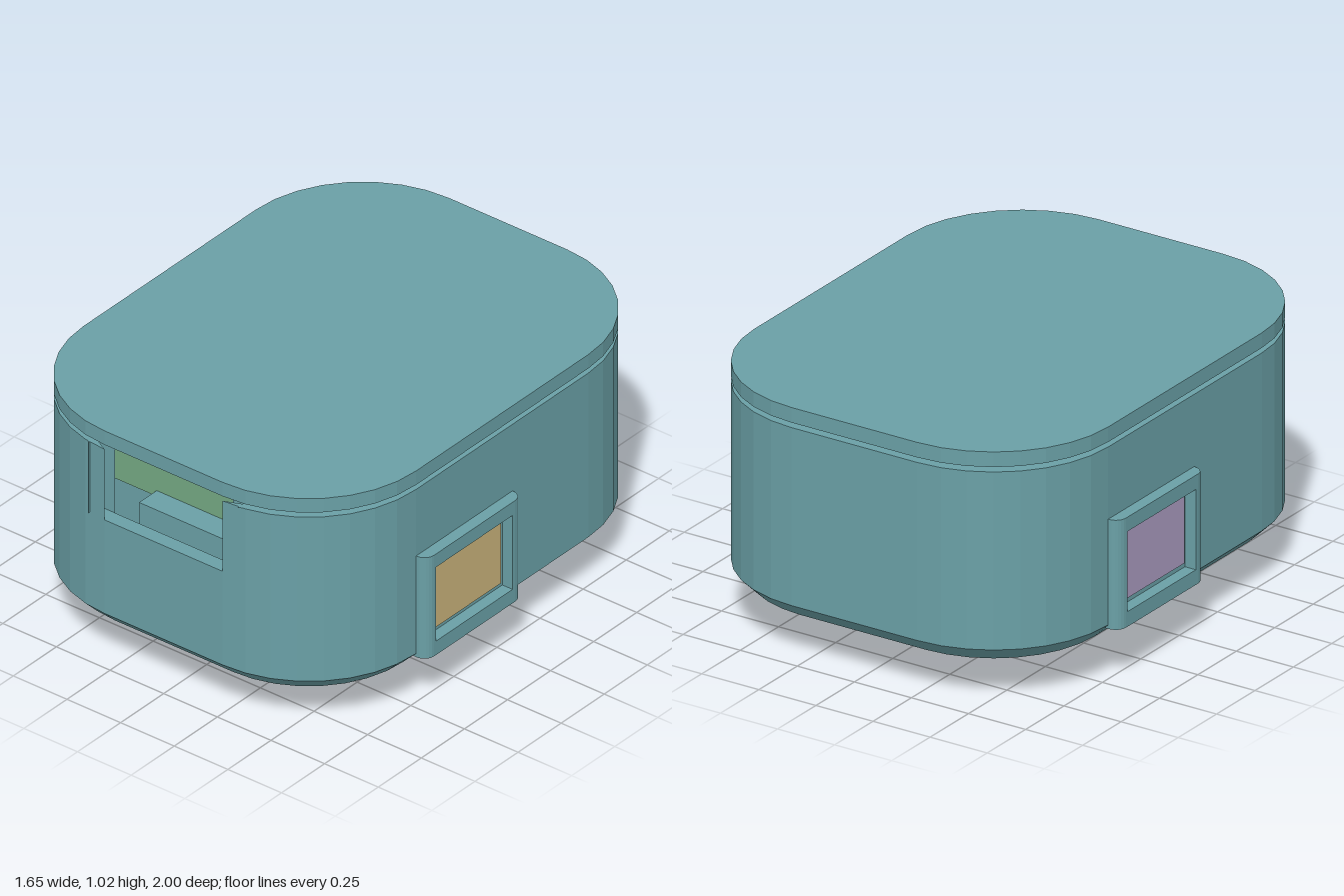
import * as THREE from 'three';

const material = (name, color) => {
  const m = new THREE.MeshStandardMaterial({ color });
  m.name = name;
  return m;
};

// Corner points of a rounded rectangle, anticlockwise from the lower right corner
function outline(hw, hd, r, seg = 8) {
  const pts = [];
  [[1, -1], [1, 1], [-1, 1], [-1, -1]].forEach(([sx, sy], k) => {
    for (let i = 0; i <= seg; i++) {
      const a = (k - 1 + i / seg) * Math.PI / 2;
      pts.push(new THREE.Vector2(sx * (hw - r) + r * Math.cos(a), sy * (hd - r) + r * Math.sin(a)));
    }
  });
  return pts;
}

// Upright prism of a plan shape from y0 to y1 (plan y points to -z)
function prism(pts, y0, y1, hole) {
  const shape = new THREE.Shape(pts);
  if (hole) shape.holes.push(new THREE.Path(hole));
  const g = new THREE.ExtrudeGeometry(shape, { depth: y1 - y0, bevelEnabled: false });
  return g.rotateX(-Math.PI / 2).translate(0, y0, 0);
}

export function createModel() {
  const model = new THREE.Group();
  model.name = 'enclosure';
  const teal = material('teal shell', 0x6aa0a6);
  const green = material('green board', 0x74a883);
  const amber = material('amber button', 0xc9b27a);
  const purple = material('purple button', 0xaa9cc0);

  const add = (name, geometry, mat, parent = model) => {
    const mesh = new THREE.Mesh(geometry, mat);
    mesh.name = name;
    parent.add(mesh);
    return mesh;
  };
  const box = (name, x0, x1, y0, y1, z0, z1, mat, parent) =>
    add(name, new THREE.BoxGeometry(x1 - x0, y1 - y0, z1 - z0)
      .translate((x0 + x1) / 2, (y0 + y1) / 2, (z0 + z1) / 2), mat, parent);

  const W = 0.775, D = 1, R = 0.5, T = 0.06;
  const outer = outline(W, D, R), inner = outline(W - T, D - T, R - T);

  // Floating lid
  add('lid', prism(outer, 0.965, 1.025), teal);

  // Chamfered floor: the lower outline is drawn in toward the corner centres
  const floor = prism(outer, 0.175, 0.235);
  const p = floor.attributes.position;
  for (let i = 0; i < p.count; i++) {
    if (p.getY(i) > 0.2) continue;
    const cx = THREE.MathUtils.clamp(p.getX(i), R - W, W - R);
    const cz = THREE.MathUtils.clamp(p.getZ(i), R - D, D - R);
    const k = (R - T) / R;
    p.setX(i, cx + (p.getX(i) - cx) * k);
    p.setZ(i, cz + (p.getZ(i) - cz) * k);
  }
  floor.computeVertexNormals();
  add('chamferedFloor', floor, teal);

  // Walls: a closed lower ring, and an upper ring open at the front notch
  add('lowerWall', prism(outer, 0.235, 0.64, inner), teal);
  const L = -0.35, Rt = 0.345;
  add('notchedWall', prism([
    new THREE.Vector2(Rt, -D), ...outer, new THREE.Vector2(L, -D),
    new THREE.Vector2(L, T - D), ...inner.slice().reverse(), new THREE.Vector2(Rt, T - D),
  ], 0.64, 0.945), teal);

  // Parts seen through the notch
  box('innerPanel', -0.66, 0.66, 0.235, 0.945, 0.64, 0.69, teal);
  box('greenBoard', -0.6, 0.6, 0.59, 0.895, 0.69, 0.698, green);
  box('innerLedge', -0.275, 0.3, 0.235, 0.615, 0.69, 0.8, teal);

  // Foot with a rectangular opening and a rounded plate inside it
  const opening = [[-0.2, -0.285], [0.2, -0.285], [0.2, 0.285], [-0.2, 0.285]]
    .map(([x, y]) => new THREE.Vector2(x, y));
  add('foot', prism(outline(0.312, 0.435, 0.08), 0.035, 0.175, opening), teal);
  add('footPlate', prism(outline(0.18, 0.265, 0.05), 0, 0.175), teal);

  // Side button in a raised frame, repeated by a half turn
  function sideButton(name, mat) {
    const group = new THREE.Group();
    group.name = name;
    const z0 = -0.06, z1 = 0.5, x0 = 0.76, x1 = 0.823, r = 0.045;
    // Plan of the frame between two z values, rounding the chosen outer corners
    const plan = (a, b, roundA, roundB) => {
      const pts = [new THREE.Vector2(x0, -b)];
      const corner = (z, s, from, on) => {
        if (!on) return pts.push(new THREE.Vector2(x1, -z));
        for (let i = 0; i <= 6; i++) {
          const t = from + i / 6 * Math.PI / 2;
          pts.push(new THREE.Vector2(x1 - r + r * Math.cos(t), -(z + s * r) + r * Math.sin(t)));
        }
      };
      corner(b, -1, -Math.PI / 2, roundB);
      corner(a, 1, 0, roundA);
      pts.push(new THREE.Vector2(x0, -a));
      return pts;
    };
    add('frameBottom', prism(plan(z0, z1, true, true), 0.22, 0.28), teal, group);
    add('frameTop', prism(plan(z0, z1, true, true), 0.6, 0.657), teal, group);
    add('frameBackSide', prism(plan(z0, 0, true, false), 0.28, 0.6), teal, group);
    add('frameFrontSide', prism(plan(0.445, z1, false, true), 0.28, 0.6), teal, group);
    box('button', 0.77, 0.793, 0.31, 0.577, 0.03, 0.413, mat, group);
    model.add(group);
    return group;
  }
  sideButton('leftButton', amber);
  sideButton('rightButton', purple).rotation.y = Math.PI;

  return model;
}
